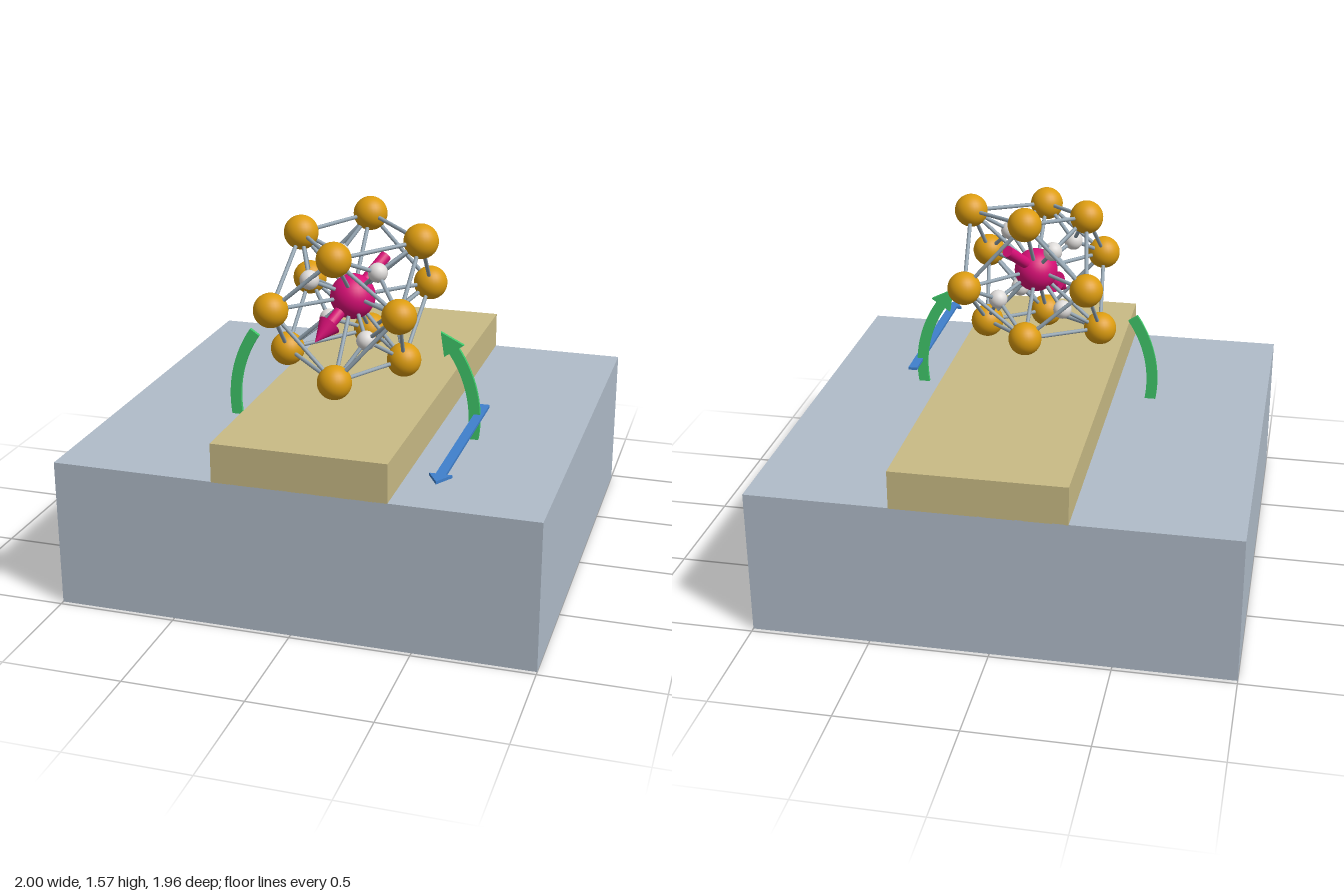
import * as THREE from 'three';

const V = (x, y, z) => new THREE.Vector3(x, y, z);
const mat = (name, color) => {
  const m = new THREE.MeshStandardMaterial({ color });
  m.name = name;
  return m;
};

export function createModel() {
  const slate = mat('slate blue', 0xb0bcc9);
  const tan = mat('tan', 0xc9bb85);
  const gold = mat('gold', 0xdc9c10);
  const pink = mat('magenta', 0xd80f76);
  const white = mat('pale grey', 0xdfdcda);
  const steel = mat('steel grey', 0x94a5b2);
  const green = mat('green', 0x40c86a);
  const blue = mat('blue', 0x3f80cc);

  const model = new THREE.Group();
  const add = (parent, name, geometry, material, pos = V(0, 0, 0)) => {
    const mesh = new THREE.Mesh(geometry, material);
    mesh.name = name;
    mesh.position.copy(pos);
    parent.add(mesh);
    return mesh;
  };
  // round bar or cone between two points
  const rod = (parent, name, a, b, r0, r1, material, sides = 12) => {
    const d = b.clone().sub(a);
    const mesh = add(parent, name, new THREE.CylinderGeometry(r1, r0, d.length(), sides),
      material, a.clone().add(b).multiplyScalar(0.5));
    mesh.quaternion.setFromUnitVectors(V(0, 1, 0), d.normalize());
    return mesh;
  };

  // slab and raised strip
  add(model, 'baseSlab', new THREE.BoxGeometry(2, 0.628, 1.96), slate, V(0, 0.314, 0));
  add(model, 'raisedStrip', new THREE.BoxGeometry(0.72, 0.164, 1.96), tan, V(0.04, 0.708, 0));

  // atom cluster, measured from its central atom
  const cluster = new THREE.Group();
  cluster.name = 'atomCluster';
  cluster.position.set(0.04, 1.207, 0.245);
  model.add(cluster);
  const centre = V(0, 0, 0);
  add(cluster, 'centralAtom', new THREE.SphereGeometry(0.095, 32, 20), pink);

  // mirrored pairs through the centre
  const pairs = (list) => list.flatMap((p) => [V(...p), V(...p).negate()]);
  const outer = pairs([
    [0.26, 0, 0.22], [-0.26, 0, 0.287],
    [0.29, 0.257, 0], [-0.223, 0.257, 0],
    [0, 0.225, 0.26], [0, 0.292, -0.26],
  ]);
  const inner = pairs([[0.137, 0.14, 0.102], [-0.143, 0.097, 0.14], [-0.1, 0.14, -0.143]]);
  const outerGeo = new THREE.SphereGeometry(0.072, 28, 18);
  const innerGeo = new THREE.SphereGeometry(0.041, 20, 14);
  outer.forEach((p) => add(cluster, 'outerAtom', outerGeo, gold, p));
  inner.forEach((p) => add(cluster, 'innerAtom', innerGeo, white, p));

  // bonds
  const bond = (a, b) => rod(cluster, 'bond', a, b, 0.0085, 0.0085, steel, 10);
  outer.forEach((p, i) => {
    bond(centre, p);
    outer.slice(i + 1).forEach((q) => { if (p.distanceTo(q) < 0.44) bond(p, q); });
  });
  inner.forEach((p) => {
    bond(centre, p);
    outer.forEach((q) => { if (p.distanceTo(q) < 0.25) bond(p, q); });
  });

  // spin arrow through the central atom
  const dir = V(-0.4, -0.58, 0.71).normalize();
  const along = (t) => dir.clone().multiplyScalar(t);
  rod(cluster, 'spinArrowShaft', along(-0.235), along(0.18), 0.025, 0.025, pink, 20);
  rod(cluster, 'spinArrowHead', along(0.165), along(0.265), 0.05, 0, pink, 24);

  // flat curved arrow either side of the strip
  const plate = (shape, depth) => {
    const g = new THREE.ExtrudeGeometry(shape, { depth, bevelEnabled: false, curveSegments: 28 });
    return g.translate(0, 0, -depth / 2);
  };
  const R = 0.53, half = 0.024, end = 0.6, start = -0.17;
  const band = (from, to) => {
    const s = new THREE.Shape();
    s.absarc(0, 0, R + half, from, to, false);
    s.absarc(0, 0, R - half, to, from, true);
    return s;
  };
  const arcCentre = V(0.04, 0.71, 0.245);
  add(model, 'rightCurvedArrowShaft', plate(band(start, end), 0.016), green, arcCentre);
  add(model, 'leftCurvedArrowTail', plate(band(Math.PI - end, Math.PI - start), 0.016), green, arcCentre);
  const at = (r, a) => new THREE.Vector2(r * Math.cos(a), r * Math.sin(a));
  const tip = at(R, end).add(at(0.096, end + Math.PI / 2 + 0.04));
  const head = new THREE.Shape([at(R - 0.05, end), at(R + 0.05, end), tip]);
  add(model, 'curvedArrowHead', plate(head, 0.016), green, arcCentre);

  // flat straight arrow beside the strip, pointing forward
  const arrow = new THREE.Shape([
    [-0.02, -0.125], [-0.02, -0.9], [-0.045, -0.9], [0, -0.975],
    [0.045, -0.9], [0.02, -0.9], [0.02, -0.125],
  ].map(([x, y]) => new THREE.Vector2(x, y)));
  const straight = add(model, 'straightArrow', plate(arrow, 0.012), blue, V(0.587, 0.735, 0));
  straight.rotation.x = -Math.PI / 2;

  return model;
}
